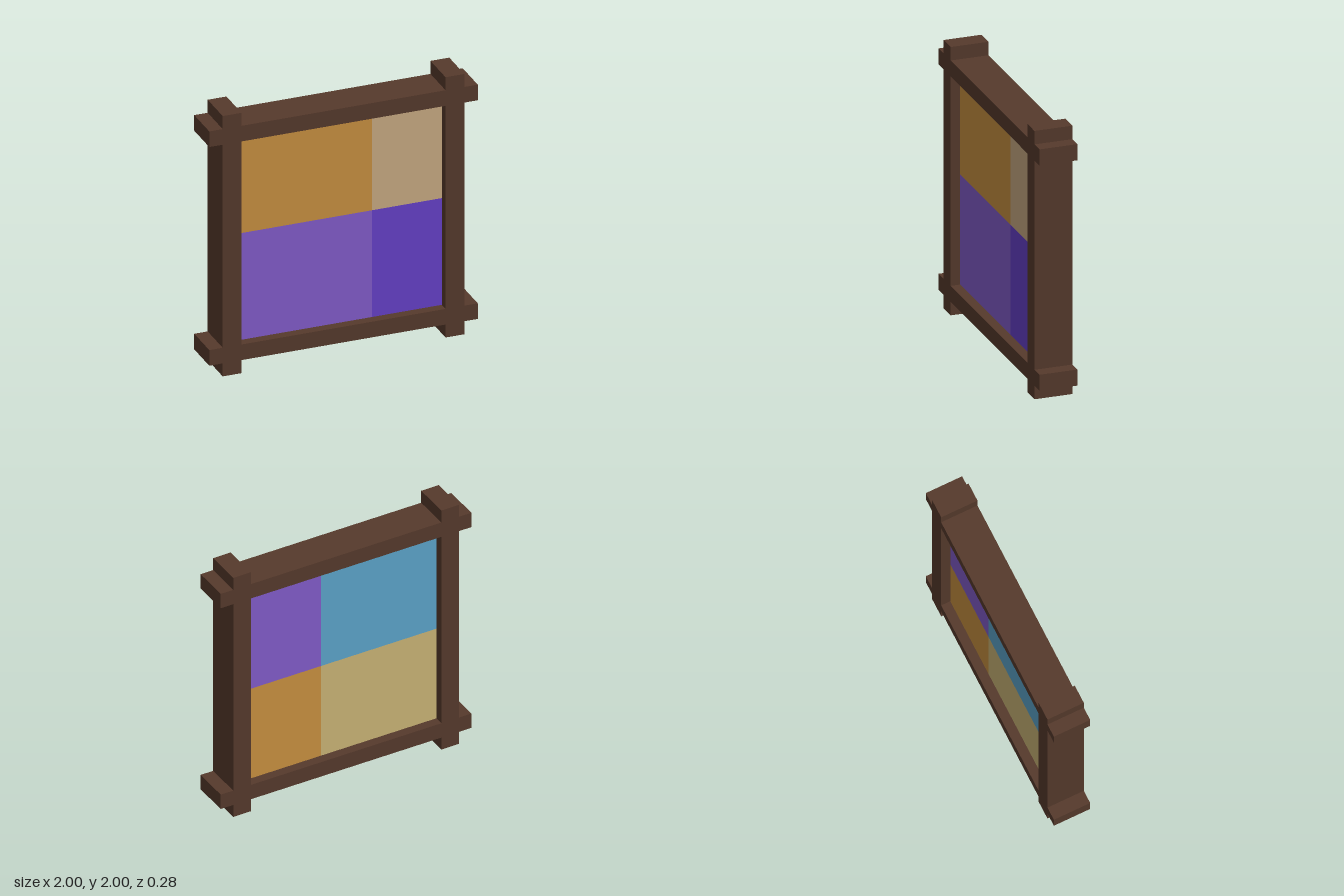
import * as THREE from 'three';

const mat = (name, color) => {
  const m = new THREE.MeshStandardMaterial({ color });
  m.name = name;
  return m;
};

export function createModel() {
  const model = new THREE.Group();
  model.name = 'panelFrame';

  const wood = mat('darkWood', 0x563a2c);
  const orange = mat('orange', 0xc89040);
  const tan = mat('tan', 0xc8aa82);
  const purple = mat('purple', 0x825cca);
  const violet = mat('violet', 0x6640c8);
  const blue = mat('blue', 0x5ca4ca);
  const olive = mat('olive', 0xcab476);

  // Box given by its limits on each axis
  const box = (name, material, x0, x1, y0, y1, z0, z1) => {
    const mesh = new THREE.Mesh(new THREE.BoxGeometry(x1 - x0, y1 - y0, z1 - z0), material);
    mesh.position.set((x0 + x1) / 2, (y0 + y1) / 2, (z0 + z1) / 2);
    mesh.name = name;
    model.add(mesh);
  };

  const D = 0.14;                        // half depth of the frame
  const IN = 0.76, OUT = 0.9;            // inner and outer faces of the posts
  const LOW = 0.22, HIGH = 1.78, T = 0.07; // opening limits, half depth of the panels

  // Upright posts
  box('leftPost', wood, IN, OUT, 0, 2, -D, D);
  box('rightPost', wood, -OUT, -IN, 0, 2, -D, D);

  // Rails between the posts, with their ends showing outside
  for (const [name, y0, y1] of [['bottom', 0.1, LOW], ['top', HIGH, 1.9]]) {
    box(name + 'Rail', wood, -IN, IN, y0, y1, -D, D);
    box(name + 'RailLeftEnd', wood, OUT, 1, y0, y1, -D, D);
    box(name + 'RailRightEnd', wood, -1, -OUT, y0, y1, -D, D);
  }

  // Four coloured panes on one face, split at (sx, sy)
  const panes = (side, sx, sy, z0, z1, [upRight, upLeft, lowRight, lowLeft]) => {
    box(side + 'UpperRightPane', upRight, -IN, sx, sy, HIGH, z0, z1);
    box(side + 'UpperLeftPane', upLeft, sx, IN, sy, HIGH, z0, z1);
    box(side + 'LowerRightPane', lowRight, -IN, sx, LOW, sy, z0, z1);
    box(side + 'LowerLeftPane', lowLeft, sx, IN, LOW, sy, z0, z1);
  };
  panes('front', 0.24, 1.04, 0, T, [orange, tan, purple, violet]);
  panes('back', 0.16, 0.97, -T, 0, [blue, purple, olive, orange]);

  return model;
}
